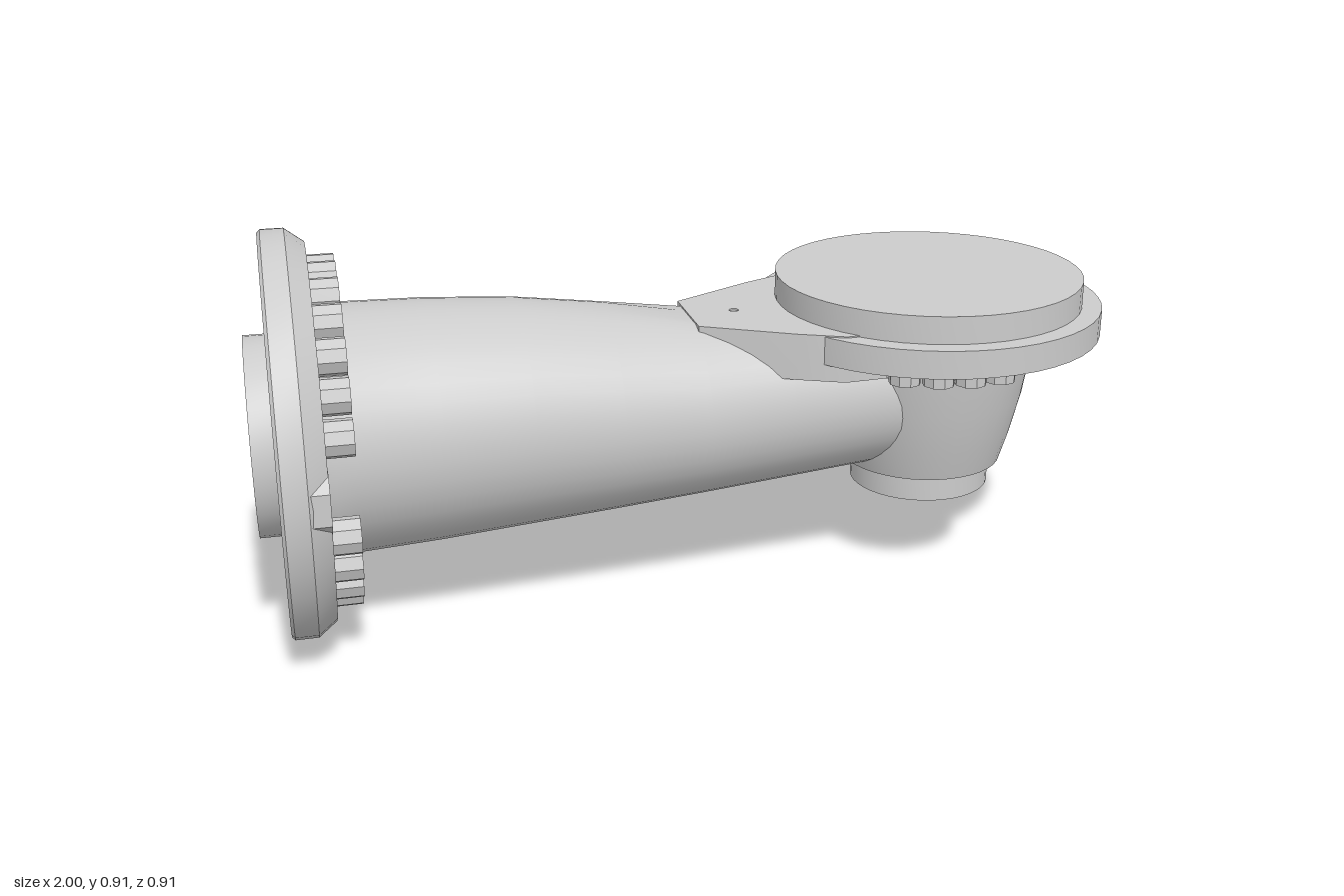
import * as THREE from 'three';
import { toCreasedNormals } from 'three/addons/utils/BufferGeometryUtils.js';

const material = new THREE.MeshStandardMaterial({ color: 0xcccccc, side: THREE.DoubleSide });
const V = (a) => a.map(([x, y]) => new THREE.Vector2(x, y));

function part(name, geometry, crease = 0.5) {
  const mesh = new THREE.Mesh(toCreasedNormals(geometry, crease), material);
  mesh.name = name;
  return mesh;
}

// Turned part: profile of [radius, height] from bottom to top
const turned = (name, profile, sides = 40) => part(name, new THREE.LatheGeometry(V(profile), sides));

// Plate with one small hole, outline in x and -z, standing between two heights
function plate(name, outline, hole, bottom, top) {
  const shape = new THREE.Shape(V(outline));
  shape.holes.push(new THREE.Path().absarc(hole[0], hole[1], 0.011, 0, Math.PI * 2, true));
  const geometry = new THREE.ExtrudeGeometry(shape, { depth: top - bottom, bevelEnabled: false, curveSegments: 6 });
  geometry.rotateX(-Math.PI / 2).translate(0, bottom, 0);
  return part(name, geometry);
}

// Mirrored ring of bolts, angles in degrees from the start direction
function boltRing(name, angles, start, ringRadius, boltRadius, bottom, top) {
  const group = new THREE.Group();
  group.name = name;
  const geometry = new THREE.CylinderGeometry(boltRadius, boltRadius, top - bottom, 9);
  const add = (degrees) => {
    const a = THREE.MathUtils.degToRad(degrees + start);
    const bolt = part('bolt', geometry);
    bolt.position.set(ringRadius * Math.sin(a), (bottom + top) / 2, ringRadius * Math.cos(a));
    group.add(bolt);
  };
  for (const a of angles) { add(a); add(-a); }
  add(180);
  return group;
}

// Arm stations: [x, top, bottom, half width]
const stations = [
  [-0.86, 0.765, 0.155, 0.305], [-0.83, 0.755, 0.165, 0.295], [-0.79, 0.745, 0.18, 0.283],
  [-0.6, 0.741, 0.19, 0.276], [-0.4, 0.728, 0.205, 0.264], [-0.2, 0.702, 0.22, 0.25],
  [0, 0.677, 0.236, 0.234], [0.2, 0.672, 0.252, 0.217], [0.4, 0.665, 0.27, 0.206], [0.59, 0.655, 0.285, 0.195],
];

// Tapered tube whose rings follow the stations, flattened on top towards the wrist
function armGeometry() {
  const last = stations.length - 1;
  const geometry = new THREE.CylinderGeometry(1, 1, 1, 40, last).rotateZ(-Math.PI / 2);
  const p = geometry.attributes.position;
  for (let i = 0; i < p.count; i++) {
    const [x, top, bottom, half] = stations[Math.round((p.getX(i) + 0.5) * last)];
    const y = (top + bottom) / 2 + p.getY(i) * (top - bottom) / 2;
    p.setXYZ(i, x, x < -0.1 ? y : Math.min(y, 0.664), p.getZ(i) * half);
  }
  return geometry;
}

export function createModel() {
  const model = new THREE.Group();
  model.name = 'robotArmLink';
  const boltAngles = [18, 32, 46, 60, 74, 87.5, 101, 138, 152, 166];

  // Base flange, built upright and then laid along x
  const base = new THREE.Group();
  base.name = 'baseFlange';
  base.add(turned('flangeDisc', [[0, -0.95], [0.45, -0.95], [0.457, -0.943], [0.457, -0.892], [0.425, -0.85], [0, -0.85]]));
  base.add(turned('rearBoss', [[0, -1], [0.226, -1], [0.226, -0.945]]));
  base.add(boltRing('baseBolts', boltAngles, 0, 0.355, 0.041, -0.855, -0.79));
  for (const turn of [0, Math.PI]) {
    const lug = plate('dowelLug', [[-0.07, 0.41], [0.07, 0.41], [0.035, 0.451], [-0.035, 0.451]], [0, 0.43], -0.9, -0.849);
    lug.rotation.y = turn;
    base.add(lug);
  }
  base.rotation.z = -Math.PI / 2;
  base.position.y = 0.459;
  model.add(base);

  // Tapered arm and the flat web joining it to the wrist
  model.add(part('arm', armGeometry(), 0.7));
  model.add(plate('topWeb', [
    [0, -0.1], [0.2, -0.21], [0.3, -0.255], [0.4, -0.25],
    [0.4, 0.25], [0.3, 0.255], [0.2, 0.21], [0, 0.1],
  ], [0.11, 0], 0.56, 0.668));

  // Wrist housing with its flange and lower cap
  const wrist = new THREE.Group();
  wrist.name = 'wrist';
  wrist.add(turned('wristHousing', [[0, 0.27], [0.195, 0.27], [0.215, 0.34], [0.238, 0.44], [0.255, 0.55], [0.262, 0.605]]));
  wrist.add(turned('lowerCap', [[0, 0.205], [0.168, 0.205], [0.168, 0.275]]));
  wrist.add(turned('wristFlange', [[0, 0.6], [0.41, 0.6], [0.41, 0.665], [0, 0.665]], 48));
  wrist.add(turned('mountingDisc', [[0.364, 0.66], [0.364, 0.729], [0, 0.729]], 48));
  wrist.add(boltRing('wristBolts', boltAngles.slice(3), -90, 0.309, 0.037, 0.553, 0.605));
  wrist.position.x = 0.59;
  model.add(wrist);

  return model;
}
